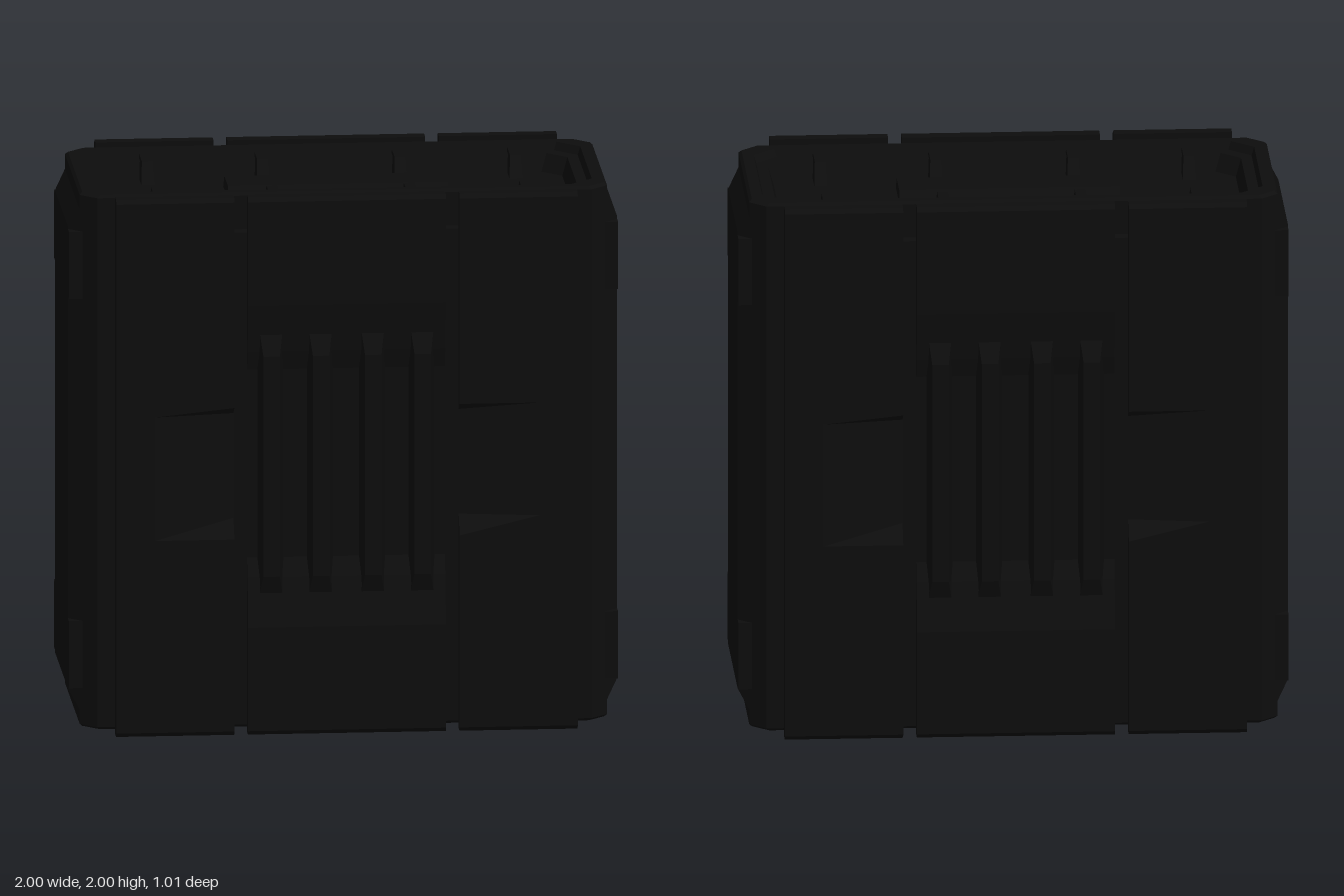
import * as THREE from 'three';

// Skin over horizontal sections: each is { y, pts: [[x, z], ...] }, pts running front, right, back, left.
function loft(sections) {
  const n = sections[0].pts.length;
  const pos = [];
  const put = (s, j) => pos.push(s.pts[j % n][0], s.y, s.pts[j % n][1]);
  for (let i = 0; i < sections.length - 1; i++) {
    const a = sections[i], b = sections[i + 1];
    for (let j = 0; j < n; j++) {
      put(a, j); put(a, j + 1); put(b, j + 1);
      put(a, j); put(b, j + 1); put(b, j);
    }
  }
  const first = sections[0], last = sections[sections.length - 1];
  for (let j = 1; j < n - 1; j++) {
    put(first, 0); put(first, j + 1); put(first, j);
    put(last, 0); put(last, j); put(last, j + 1);
  }
  const g = new THREE.BufferGeometry();
  g.setAttribute('position', new THREE.Float32BufferAttribute(pos, 3));
  g.computeVertexNormals();
  return g;
}

const rect = (x0, x1, z0, z1) => [[x0, z1], [x1, z1], [x1, z0], [x0, z0]];
const octagon = (x, z, c) => [
  [-x + c, z], [x - c, z], [x, z - c], [x, -z + c],
  [x - c, -z], [-x + c, -z], [-x, -z + c], [-x, z - c],
];

export function createModel() {
  const charcoal = new THREE.MeshStandardMaterial({ color: 0x0d0d0d });
  charcoal.name = 'charcoal';
  const model = new THREE.Group();
  model.name = 'crate';
  const add = (parent, name, geometry) => {
    const m = new THREE.Mesh(geometry, charcoal);
    m.name = name;
    parent.add(m);
    return m;
  };

  // Octagonal body, with a stepped recess in both ends
  const end = [
    [0.10, 0.84, 0.27, 0.07], [0.035, 0.86, 0.29, 0.07], [0.035, 0.90, 0.33, 0.08],
    [0.005, 0.91, 0.34, 0.08], [0.005, 0.95, 0.38, 0.06], [0.015, 0.96, 0.39, 0.06],
    [0.07, 0.96, 0.39, 0.06], [0.14, 1.0, 0.39, 0.1],
  ];
  const lower = end.map(([y, x, z, c]) => ({ y, pts: octagon(x, z, c) }));
  const upper = [...lower].reverse().map(({ y, pts }) => ({ y: 2 - y, pts }));
  add(model, 'body', loft([...lower, ...upper]));

  // Blocks at the four corners, near the top and bottom
  for (const sx of [-1, 1]) for (const sz of [-1, 1]) for (const y of [0.275, 1.725]) {
    const block = add(model, 'cornerBlock', new THREE.BoxGeometry(0.15, 0.25, 0.1));
    block.position.set(sx * 0.925, y, sz * 0.29);
  }

  // Fittings inside the end recesses
  for (const flip of [false, true]) {
    const fittings = new THREE.Group();
    fittings.name = flip ? 'bottomFittings' : 'topFittings';
    add(fittings, 'centreSlab', loft([
      { y: 1.89, pts: rect(-0.4, 0.4, -0.14, 0.14) },
      { y: 1.95, pts: rect(-0.4, 0.4, -0.08, 0.08) },
    ]));
    for (const x of [-0.67, -0.25, 0.25, 0.67]) for (const s of [0, 1]) {
      const gusset = add(fittings, 'gusset', loft([
        { y: 1.89, pts: rect(x - 0.025, x + 0.025, 0.16, 0.33) },
        { y: 1.98, pts: rect(x - 0.02, x + 0.02, 0.21, 0.33) },
      ]));
      if (s) gusset.rotation.y = Math.PI;
    }
    if (flip) {
      fittings.rotation.z = Math.PI;
      fittings.position.y = 2;
    }
    model.add(fittings);
  }

  // Armour panels, the same on front and back
  for (const back of [false, true]) {
    const face = new THREE.Group();
    face.name = back ? 'backFace' : 'frontFace';

    const spacer = add(face, 'spacer', new THREE.BoxGeometry(1.42, 1.72, 0.07));
    spacer.position.set(0, 1, 0.405);

    // Side panels, with a hand recess that deepens toward the centre
    for (const s of [-1, 1]) {
      const section = (y, zIn, z = 0.5) => {
        const p = [[0.41, zIn], [0.70, z], [0.84, z], [0.84, 0.44], [0.41, 0.44]];
        return { y, pts: s > 0 ? p : p.map(([x, d]) => [-x, d]).reverse() };
      };
      add(face, 'sidePanel', loft([
        section(0, 0.488, 0.488), section(0.015, 0.5), section(0.73, 0.5), section(0.80, 0.45),
        section(1.19, 0.45), section(1.22, 0.5), section(1.985, 0.5), section(2, 0.488, 0.488),
      ]));
    }

    // Centre panel, sunk in the middle
    const profile = [
      [0, 0.488], [0.015, 0.5], [0.40, 0.5], [0.58, 0.47], [0.65, 0.448],
      [1.35, 0.448], [1.42, 0.47], [1.60, 0.5], [1.985, 0.5], [2, 0.488],
    ];
    add(face, 'centrePanel', loft(profile.map(([y, z]) => ({ y, pts: rect(-0.36, 0.36, 0.435, z) }))));

    // Upright ribs with bevelled sides and ends
    for (const x of [-0.275, -0.095, 0.095, 0.275]) {
      const rib = (y, z, half) => ({
        y, pts: [[x - half, z], [x + half, z], [x + 0.05, 0.44], [x - 0.05, 0.44]],
      });
      add(face, 'rib', loft([
        rib(0.5, 0.47, 0.045), rib(0.59, 0.505, 0.03), rib(1.41, 0.505, 0.03), rib(1.52, 0.47, 0.045),
      ]));
    }
    if (back) face.rotation.y = Math.PI;
    model.add(face);
  }
  return model;
}
